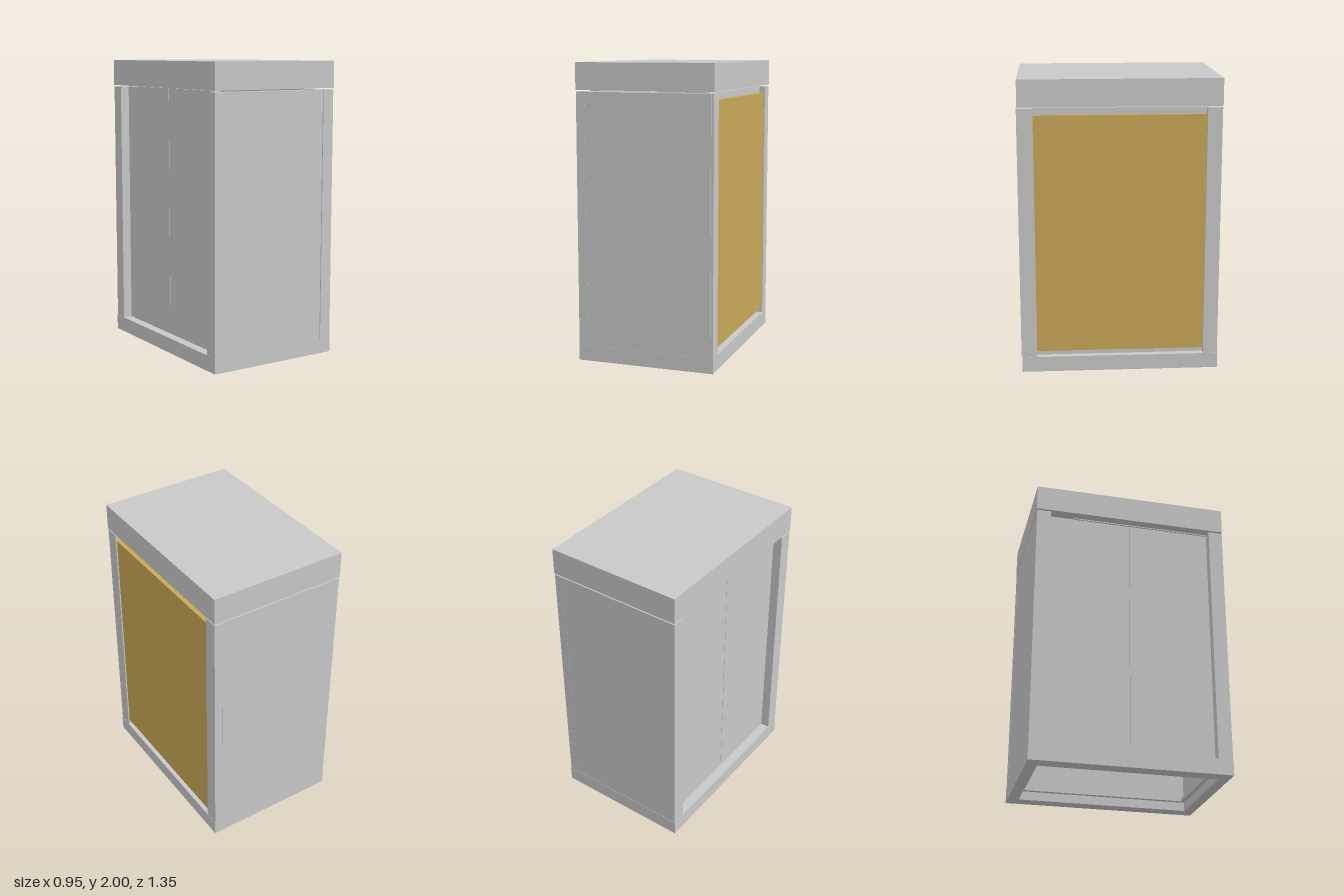
import * as THREE from 'three';

const grey = new THREE.MeshStandardMaterial({ color: 0xc8c8c8 });
grey.name = 'light grey metal';
const gold = new THREE.MeshStandardMaterial({ color: 0xc8a857 });
gold.name = 'ochre panel';

export function createModel() {
  const group = new THREE.Group();
  group.name = 'cabinet';

  // box given by its limits on each axis
  const box = (name, [x0, x1], [y0, y1], [z0, z1], material = grey) => {
    const mesh = new THREE.Mesh(new THREE.BoxGeometry(x1 - x0, y1 - y0, z1 - z0), material);
    mesh.position.set((x0 + x1) / 2, (y0 + y1) / 2, (z0 + z1) / 2);
    mesh.name = name;
    group.add(mesh);
  };
  const span = (s, a, b) => (s > 0 ? [a, b] : [-b, -a]);

  const W = 0.475, D = 0.67, baseTop = 0.105, bodyTop = 1.81;

  // lid, floating just above the body
  box('lid', [-W, W], [1.82, 2], [-D, D]);

  // hollow plinth, open underneath
  const ring = new THREE.Shape([[-W, -D], [W, -D], [W, D], [-W, D]].map(p => new THREE.Vector2(...p)));
  ring.holes.push(new THREE.Path([[-0.37, -0.595], [-0.37, 0.595], [0.37, 0.595], [0.37, -0.595]].map(p => new THREE.Vector2(...p))));
  const plinth = new THREE.Mesh(
    new THREE.ExtrudeGeometry(ring, { depth: baseTop, bevelEnabled: false }).rotateX(-Math.PI / 2), grey);
  plinth.name = 'plinth';
  group.add(plinth);

  for (const s of [1, -1]) {
    // end walls and corner posts
    box(s > 0 ? 'frontWall' : 'backWall', [-0.41, 0.41], [baseTop, bodyTop], span(s, 0.595, D - 0.002));
    for (const t of [1, -1])
      box('cornerPost', span(t, 0.41, W - 0.002), [baseTop, bodyTop], span(s, 0.57, D - 0.002));

    // narrow seam strip on each end wall
    box('seamStrip', span(-s, 0.41, 0.417), [0.145, 1.765], span(s, 0.66, D - 0.001));

    // recessed double doors on the model's right side
    box('door', [-0.41, -0.38], [baseTop, bodyTop], span(s, 0.0015, 0.595));

    // inner floor rails
    box('floorRail', [-0.34, 0.34], [0.06, 0.085], span(s, 0.565, 0.6));
    box('floorRail', span(s, 0.34, 0.38), [0.06, 0.085], [-0.6, 0.6]);
  }

  // panel side: backing with exposed rails above and below the panel
  box('panelBacking', [0.38, 0.43], [baseTop, bodyTop], [-0.595, 0.595]);
  box('sidePanel', [0.43, 0.465], [0.145, 1.765], [-0.568, 0.568], gold);

  // cover strip on the front, beside the panel
  box('coverStrip', [0.385, 0.455], [baseTop, bodyTop], [D - 0.002, D + 0.005]);

  // hinge plate in the gap under the lid
  box('hingePlate', [-0.42, -0.36], [1.808, 1.815], [-0.4, 0.56]);

  return group;
}
